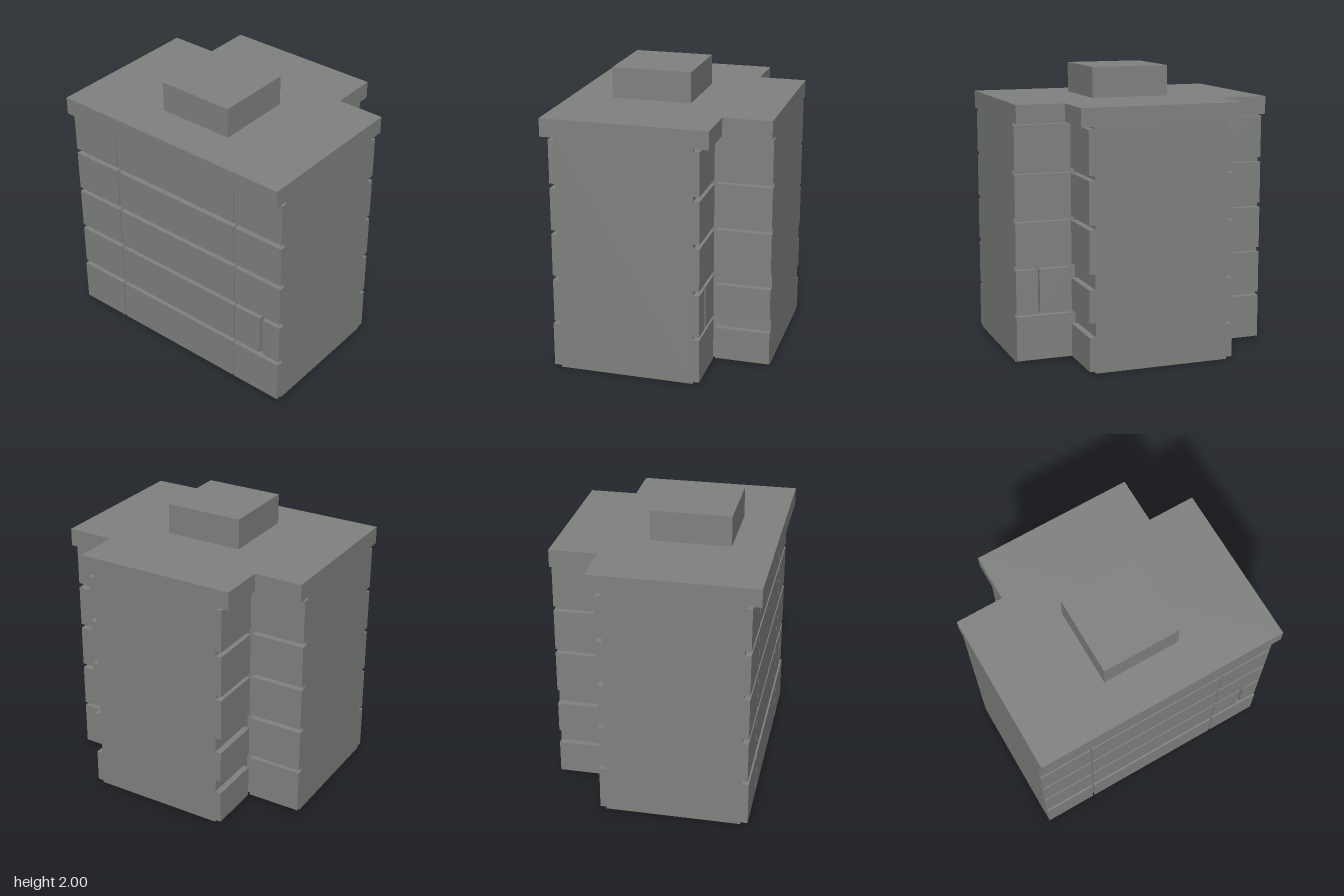
import * as THREE from 'three';

export function createModel() {
  const model = new THREE.Group();
  const concrete = new THREE.MeshStandardMaterial({ color: 0x808280 });
  concrete.name = 'concrete grey';

  // Box from its extents on each axis
  function block(name, [x0, x1], [y0, y1], [z0, z1], parent = model) {
    const mesh = new THREE.Mesh(new THREE.BoxGeometry(x1 - x0, y1 - y0, z1 - z0), concrete);
    mesh.position.set((x0 + x1) / 2, (y0 + y1) / 2, (z0 + z1) / 2);
    mesh.name = name;
    parent.add(mesh);
  }

  // T-shaped plan (main block plus side wing) raised between two heights
  function teeSlab(name, left, step, right, depth, wing, y0, y1) {
    const plan = new THREE.Shape([
      [left, -depth], [step, -depth], [step, -wing], [right, -wing],
      [right, wing], [step, wing], [step, depth], [left, depth],
    ].map(([x, z]) => new THREE.Vector2(x, z)));
    const geometry = new THREE.ExtrudeGeometry(plan, { depth: y1 - y0, bevelEnabled: false });
    geometry.rotateX(-Math.PI / 2).translate(0, y0, 0);
    const mesh = new THREE.Mesh(geometry, concrete);
    mesh.name = name;
    model.add(mesh);
  }

  teeSlab('core', -0.645, 0.3, 0.74, 0.912, 0.477, 0, 1.66);
  teeSlab('roofSlab', -0.745, 0.403, 0.74, 0.912, 0.573, 1.66, 1.785);
  block('roofHouse', [-0.45, 0.11], [1.785, 2], [-0.28, 0.28]);

  // Raised wall panels, floor by floor, separated by recessed joints
  const floors = [[0.015, 0.325], [0.35, 0.65], [0.682, 0.98], [1.012, 1.308], [1.342, 1.643]];
  const wingTops = [0.25, 0.575, 0.98, 1.308, 1.643];
  floors.forEach((y, i) => {
    const storey = new THREE.Group();
    storey.name = `wallPanelsFloor${i + 1}`;
    model.add(storey);

    // The second floor has a slot in its front corner panels
    const frontSpans = i === 1 ? [[0.53, 0.745], [0.775, 0.912]] : [[0.53, 0.912]];
    const backSpan = [-0.912, -0.525];

    const leftX = [i === 0 ? -0.695 : -0.687, -0.645];
    for (const z of [backSpan, [-0.512, 0.518], ...frontSpans]) {
      block('sidePanel', leftX, y, z, storey);
    }
    for (const z of [backSpan, ...frontSpans]) {
      block('notchPanel', [0.3, 0.343], y, z, storey);
    }
    for (const z of [[0.477, 0.52], [-0.52, -0.477]]) {
      block('wingPanel', [0.354, 0.74], [y[0], wingTops[i]], z, storey);
    }
  });

  return model;
}
